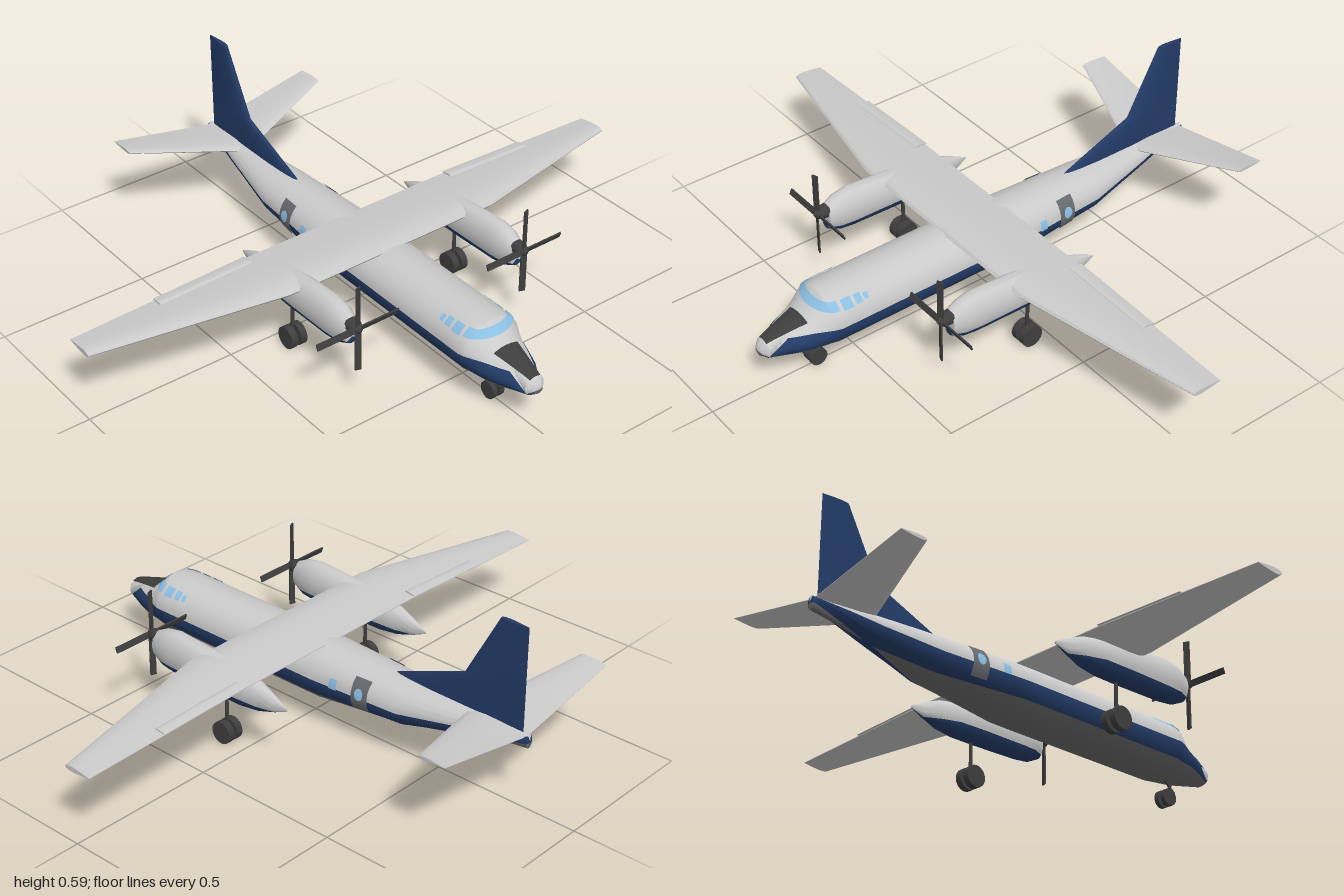
import * as THREE from 'three';
import { toCreasedNormals } from 'three/addons/utils/BufferGeometryUtils.js';

const mat = (name, color, side = THREE.FrontSide) => {
  const m = new THREE.MeshStandardMaterial({ color, side });
  m.name = name;
  return m;
};

// Piecewise linear lookup in rows [z, a, b, ...] sorted by falling z
function lookup(rows, z) {
  let i = 0;
  while (i < rows.length - 2 && z < rows[i + 1][0]) i++;
  const a = rows[i], b = rows[i + 1];
  const t = THREE.MathUtils.clamp((a[0] - z) / (a[0] - b[0]), 0, 1);
  return a.slice(1).map((v, k) => v + (b[k + 1] - v) * t);
}

// Grid surface from a point function of row and column
function surface(nu, nv, point, crease = 0.6) {
  const pos = [], index = [];
  for (let i = 0; i <= nu; i++) for (let j = 0; j <= nv; j++) pos.push(...point(i, j));
  for (let i = 0; i < nu; i++) for (let j = 0; j < nv; j++) {
    const a = i * (nv + 1) + j, b = a + nv + 1;
    index.push(a, b, a + 1, b, b + 1, a + 1);
  }
  const g = new THREE.BufferGeometry();
  g.setAttribute('position', new THREE.Float32BufferAttribute(pos, 3));
  g.setIndex(index);
  return toCreasedNormals(g, crease);
}

// Elliptical hull between two height lines; rows are [z, top, bottom, halfWidth]
function hullAngle(rows, z, y) {
  const [top, bot] = lookup(rows, z);
  const h = Math.max((top - bot) / 2, 1e-5);
  return Math.asin(THREE.MathUtils.clamp((y - (top + bot) / 2) / h, -1, 1));
}
function hullPoint(rows, z, a, off = 0) {
  const [top, bot, w] = lookup(rows, z);
  return [(w + off) * Math.cos(a), (top + bot) / 2 + ((top - bot) / 2 + off) * Math.sin(a), z];
}
function hullStrip(rows, zs, from, to, n) {
  return surface(zs.length - 1, n, (i, j) => {
    const a = from(zs[i]), b = to(zs[i]);
    return hullPoint(rows, zs[i], a + (b - a) * j / n);
  });
}

// Aerofoil loft along x; rows are [x, y, leadingZ, trailingZ, halfThickness]
const FOIL = [[0, 0], [0.03, 0.5], [0.12, 0.85], [0.3, 1], [0.6, 0.7], [1, 0.08]];
const PROFILE = [...FOIL, ...FOIL.slice().reverse().map(([f, t]) => [f, -t])];
function aerofoil(rows) {
  const flat = (r) => [...r.slice(0, 4), 0];
  const all = [flat(rows[0]), ...rows, flat(rows[rows.length - 1])];
  return surface(all.length - 1, PROFILE.length - 1, (i, j) => {
    const [x, y, le, te, t] = all[i], [f, s] = PROFILE[j];
    return [x, y + s * t, le + (te - le) * f];
  });
}
const mirrored = (rows) => [...rows.slice().reverse().map((r) => [-r[0], ...r.slice(1)]), ...rows];

const FUSELAGE = [
  [0.832, 0.15, 0.145, 0.001], [0.828, 0.162, 0.13, 0.018], [0.81, 0.18, 0.117, 0.036],
  [0.72, 0.203, 0.1, 0.072], [0.68, 0.212, 0.095, 0.086], [0.62, 0.272, 0.087, 0.104],
  [0.6, 0.275, 0.085, 0.11], [0.55, 0.276, 0.085, 0.11], [0, 0.275, 0.085, 0.11],
  [-0.08, 0.274, 0.086, 0.11], [-0.4, 0.264, 0.118, 0.09], [-0.63, 0.257, 0.173, 0.05],
  [-0.7, 0.255, 0.19, 0.037], [-0.825, 0.25, 0.205, 0.014], [-0.83, 0.23, 0.225, 0.001],
];
const STRIPE = [
  [0.832, 0.147, 0.147], [0.81, 0.13, 0.125], [0.75, 0.182, 0.128], [0.6, 0.185, 0.13],
  [-0.4, 0.185, 0.13], [-0.6, 0.21, 0.165], [-0.83, 0.248, 0.225],
];
const NACELLE = [
  [0.372, 0.25, 0.21, 0.001], [0.37, 0.275, 0.185, 0.028], [0.33, 0.295, 0.166, 0.041],
  [0.28, 0.304, 0.16, 0.045], [0.1, 0.29, 0.157, 0.045], [0, 0.276, 0.157, 0.041],
  [-0.07, 0.262, 0.165, 0.03], [-0.13, 0.237, 0.184, 0.014], [-0.18, 0.212, 0.206, 0.001],
];

export function createModel() {
  const white = mat('pale grey paint', 0xcacaca);
  const navy = mat('navy paint', 0x233c68);
  const grey = mat('belly grey', 0x6c6c6c);
  const dark = mat('dark rubber and metal', 0x3e3e3e, THREE.DoubleSide);
  const glass = mat('window blue', 0x8cbfe2, THREE.DoubleSide);
  const door = mat('door grey', 0x676a6e, THREE.DoubleSide);

  const plane = new THREE.Group();
  plane.name = 'aeroplane';
  const add = (name, geometry, material, parent = plane) => {
    const m = new THREE.Mesh(geometry, material);
    m.name = name;
    parent.add(m);
    return m;
  };
  const rod = (name, a, b, r, parent) => add(name, new THREE.TubeGeometry(
    new THREE.LineCurve3(new THREE.Vector3(...a), new THREE.Vector3(...b)), 1, r, 8), dark, parent);
  const wheel = (x, y, z, r, w, parent) => {
    const g = new THREE.CylinderGeometry(r, r, w, 24).rotateZ(Math.PI / 2);
    add('wheel', g, dark, parent).position.set(x, y, z);
  };

  // Fuselage: pale roof, navy side stripes, grey belly
  const zs = [...new Set([...FUSELAGE, ...STRIPE].map((r) => r[0]))].sort((a, b) => b - a);
  const hi = (z) => hullAngle(FUSELAGE, z, lookup(STRIPE, z)[0]);
  const lo = (z) => hullAngle(FUSELAGE, z, lookup(STRIPE, z)[1]);
  add('fuselageRoof', hullStrip(FUSELAGE, zs, hi, (z) => Math.PI - hi(z), 24), white);
  add('leftStripe', hullStrip(FUSELAGE, zs, lo, hi, 6), navy);
  add('rightStripe', hullStrip(FUSELAGE, zs, (z) => Math.PI - hi(z), (z) => Math.PI - lo(z), 6), navy);
  add('belly', hullStrip(FUSELAGE, zs, (z) => -Math.PI - lo(z), lo, 20), grey);

  // Thin panels that follow the fuselage skin
  const skin = (z, y, side, off) => {
    const p = hullPoint(FUSELAGE, z, hullAngle(FUSELAGE, z, y), off);
    return [p[0] * side, p[1], p[2]];
  };
  const panel = (name, z0, z1, y0, y1, side, material, off = 0.003) =>
    add(name, surface(4, 6, (i, j) => skin(z0 + (z1 - z0) * i / 4, y0 + (y1 - y0) * j / 6, side, off)), material);
  for (const s of [1, -1]) {
    // Windscreen wraps forward to the centre line
    add('windscreen', surface(12, 4, (i, j) => {
      const y = 0.236 + 0.022 * j / 4, u = i / 12;
      const front = 0.68 - 0.06 * (y - 0.212) / 0.06;
      return skin(front - (front - 0.595) * u * u, y, s, 0.003);
    }), glass);
    panel('cockpitWindow', 0.583, 0.548, 0.232, 0.256, s, glass);
    panel('cockpitWindow', 0.538, 0.515, 0.234, 0.255, s, glass);
    panel('cockpitWindow', 0.507, 0.492, 0.236, 0.251, s, glass);
    panel('cabinWindow', -0.15, -0.178, 0.183, 0.215, s, glass);
    panel('door', -0.235, -0.295, 0.145, 0.243, s, door);
    const round = surface(1, 16, (i, j) => {
      const a = j * Math.PI / 8;
      return skin(-0.265 + 0.016 * i * Math.cos(a), 0.2 + 0.018 * i * Math.sin(a), s, 0.006);
    });
    add('doorWindow', round, glass);
  }
  // Dark panel on top of the nose
  add('nosePanel', surface(6, 8, (i, j) => {
    const z = 0.812 - 0.13 * i / 6, x = (0.02 + 0.026 * i / 6) * (j / 4 - 1);
    const [top, bot, w] = lookup(FUSELAGE, z);
    return [x, (top + bot) / 2 + (top - bot) / 2 * Math.sqrt(1 - (x / w) ** 2) + 0.004, z];
  }), dark);

  // Wing, flaps, tailplane and fin
  add('wing', aerofoil(mirrored([[0.39, 0.27, 0.165, -0.07, 0.018], [1, 0.25, 0.03, -0.07, 0.009]])), white);
  for (const s of [1, -1]) {
    const rows = [[0.39, 0.275, -0.03, -0.074, 0.006], [0.715, 0.264, -0.032, -0.074, 0.005]];
    add('flap', aerofoil(s > 0 ? rows : rows.reverse().map((r) => [-r[0], ...r.slice(1)])), white);
  }
  add('tailplane', aerofoil(mirrored([
    [0.02, 0.246, -0.61, -0.818, 0.012], [0.38, 0.316, -0.725, -0.82, 0.006]])), white);
  add('fin', aerofoil([
    [0.235, 0, -0.3, -0.803, 0.011], [0.267, 0, -0.33, -0.803, 0.011],
    [0.367, 0, -0.586, -0.803, 0.011], [0.59, 0, -0.706, -0.803, 0.008],
  ]).rotateZ(Math.PI / 2), navy);

  // Engines with propellers and main landing gear
  for (const s of [1, -1]) {
    const engine = new THREE.Group();
    engine.name = s > 0 ? 'leftEngine' : 'rightEngine';
    engine.position.x = s * 0.32;
    plane.add(engine);
    const nz = NACELLE.map((r) => r[0]);
    const edge = (z) => hullAngle(NACELLE, z, z < 0 ? 0.196 + z * 0.08 : 0.196);
    add('nacelleTop', hullStrip(NACELLE, nz, edge, (z) => Math.PI - edge(z), 20), white, engine);
    add('nacelleBottom', hullStrip(NACELLE, nz, (z) => -Math.PI - edge(z), edge, 12), navy, engine);

    const prop = new THREE.Group();
    prop.name = 'propeller';
    prop.position.set(0, 0.253, 0.4);
    engine.add(prop);
    const cone = [[0.024, -0.04], [0.022, -0.012], [0.014, 0.006], [0, 0.014]].map((p) => new THREE.Vector2(...p));
    add('spinner', new THREE.LatheGeometry(cone, 20).rotateX(Math.PI / 2), dark, prop);
    for (let k = 0; k < 4; k++) {
      const blade = new THREE.BoxGeometry(0.02, 0.14, 0.005).rotateY(0.35).translate(0, 0.078, 0);
      add('blade', blade.rotateZ(k * Math.PI / 2), dark, prop);
    }

    rod('mainStrut', [0, 0.17, 0.075], [0, 0.037, 0.075], 0.006, engine);
    rod('mainAxle', [-0.02, 0.037, 0.075], [0.02, 0.037, 0.075], 0.005, engine);
    for (const t of [1, -1]) wheel(t * 0.017, 0.037, 0.075, 0.037, 0.022, engine);
  }

  // Nose landing gear
  const gear = new THREE.Group();
  gear.name = 'noseGear';
  plane.add(gear);
  rod('noseStrut', [0, 0.095, 0.63], [0, 0.058, 0.678], 0.004, gear);
  rod('noseStrut', [0, 0.095, 0.668], [0, 0.03, 0.635], 0.005, gear);
  rod('noseLink', [0, 0.058, 0.678], [0, 0.03, 0.635], 0.004, gear);
  rod('noseAxle', [-0.015, 0.029, 0.635], [0.015, 0.029, 0.635], 0.004, gear);
  for (const t of [1, -1]) wheel(t * 0.013, 0.029, 0.635, 0.029, 0.016, gear);

  return plane;
}
